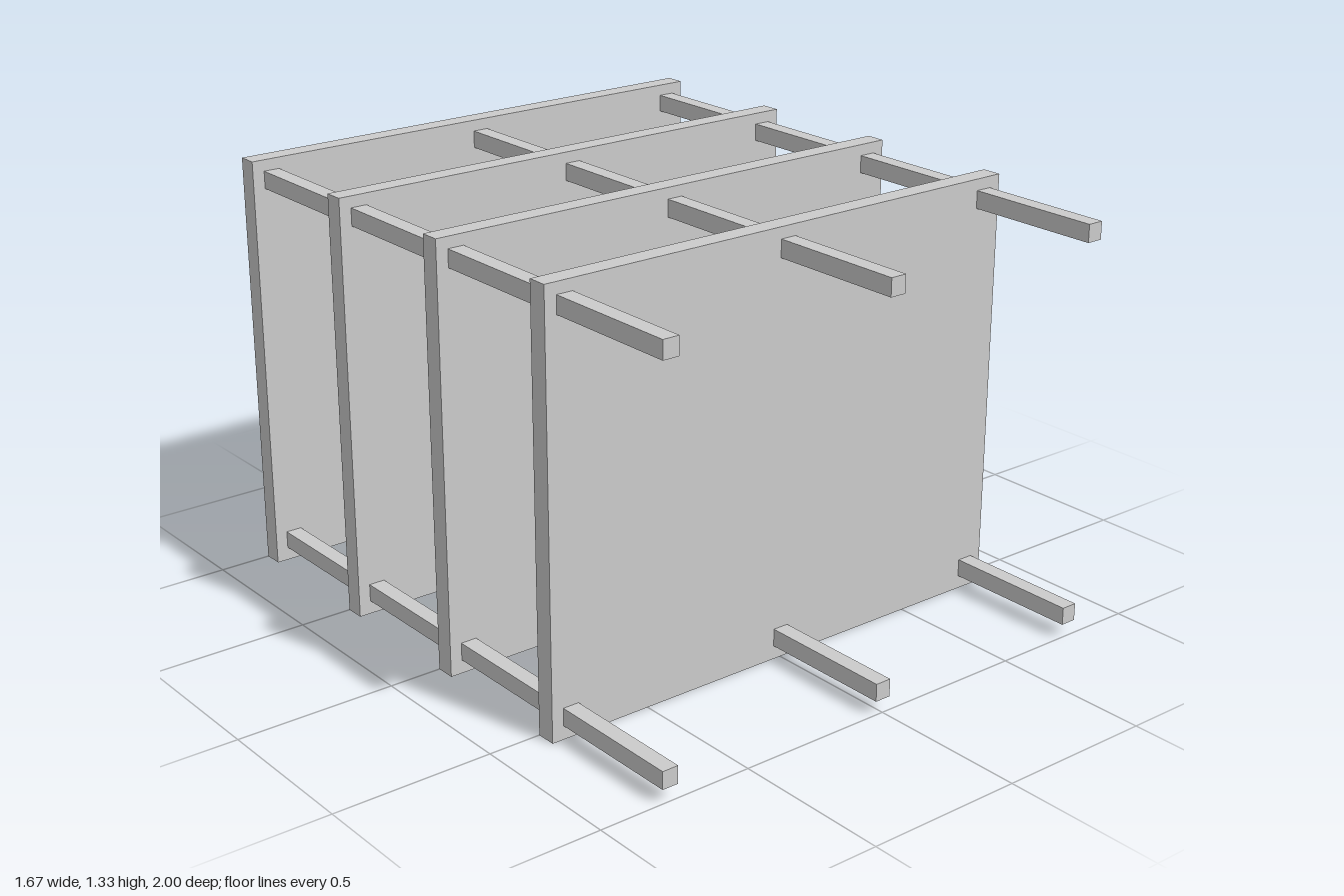
import * as THREE from 'three';

const PITCH = 0.5, THICK = 0.0625, WIDTH = 1.667, HEIGHT = 1.333;

export function createModel() {
  const group = new THREE.Group();
  group.name = 'spacedPanelStack';
  const material = new THREE.MeshStandardMaterial({ color: 0xcccccc, flatShading: true });

  const panelGeometry = new THREE.BoxGeometry(WIDTH, HEIGHT, THICK);
  const barLength = PITCH - THICK;
  const barGeometry = new THREE.BoxGeometry(0.052, 0.055, barLength);

  const add = (parent, name, geometry, x, y, z) => {
    const mesh = new THREE.Mesh(geometry, material);
    mesh.name = name;
    mesh.position.set(x, y, z);
    parent.add(mesh);
  };

  // Four identical layers, each an upright panel with six bars on its front
  for (let i = 0; i < 4; i++) {
    const layer = new THREE.Group();
    layer.name = `layer${i + 1}`;
    layer.position.z = -1 + i * PITCH;
    group.add(layer);

    add(layer, 'panel', panelGeometry, 0, HEIGHT / 2, THICK / 2);

    // Spacer bars: left, middle and right along the bottom and top edges
    for (const [row, y] of [['lower', 0.07], ['upper', 1.27]]) {
      for (const [column, x] of [['Right', -0.769], ['Middle', 0], ['Left', 0.769]]) {
        add(layer, `${row}${column}Bar`, barGeometry, x, y, THICK + barLength / 2);
      }
    }
  }
  return group;
}
